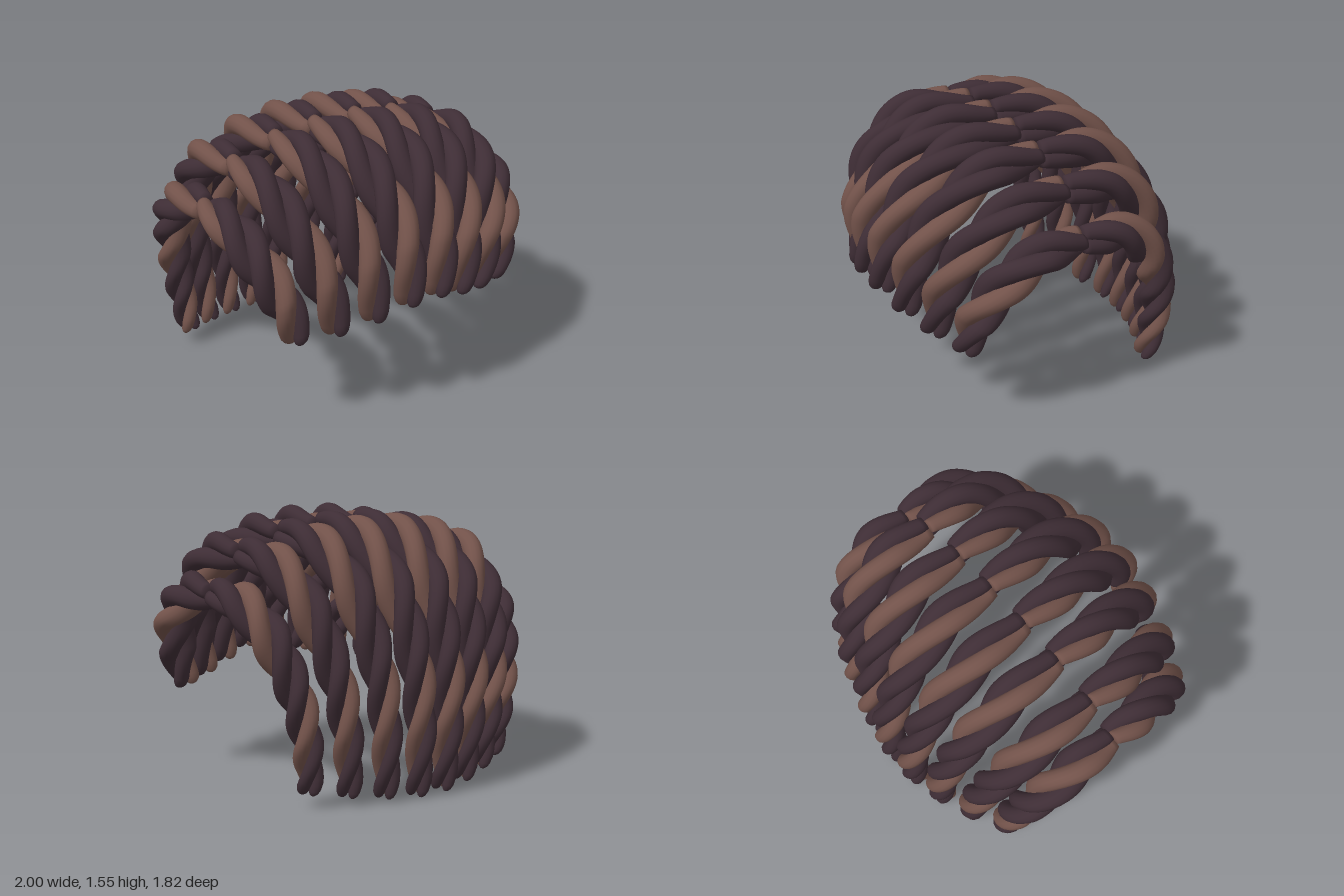
import * as THREE from 'three';

const dark = new THREE.MeshStandardMaterial({ color: 0x3e2d35 });
dark.name = 'dark brown hair';
const light = new THREE.MeshStandardMaterial({ color: 0x72524a });
light.name = 'light brown hair';

const SIDES = 14, RINGS = 52;

// root (x, y) at the parting, then the tip of the front and of the back lock; centre row first
const rows = [
  { root: [0.14, 1.45], front: [0.1, 0.635, 0.825], back: [0.095, 0.01, -0.79] },
  { root: [0.41, 1.42], front: [0.295, 0.58, 0.775], back: [0.295, 0.025, -0.75] },
  { root: [0.685, 1.33], front: [0.49, 0.53, 0.695], back: [0.495, 0.05, -0.68] },
  { root: [0.88, 1.12], front: [0.69, 0.5, 0.6], back: [0.69, 0.08, -0.585] },
];

// path shape as fractions from root to tip, thickness along the lock, twist in degrees
const styles = {
  front: {
    x: [0, -0.03, 0.18, 0.6, 1], y: [0, 0.035, 0.29, 0.65, 1], z: [0, 0.4, 0.76, 0.96, 1],
    radius: [0.08, 0.118, 0.124, 0.118, 0.086], start: -40, turn: -460, power: 1.1,
  },
  back: {
    x: [0, -0.03, 0.15, 0.55, 0.85, 1], y: [0, 0.018, 0.175, 0.475, 0.78, 1], z: [0, 0.39, 0.755, 0.995, 1.04, 1],
    radius: [0.08, 0.119, 0.116, 0.103, 0.09, 0.073], start: -115, turn: 720, power: 1.28,
  },
};

const mix = (a, b, t) => a + (b - a) * t;

function sample(list, u) {
  const p = u * (list.length - 1), i = Math.min(Math.floor(p), list.length - 2);
  return mix(list[i], list[i + 1], Math.sin((p - i) * Math.PI / 2));
}

// one strand: rings that wind round the lock's path, closed at the root and rounded at the tip
function strandGeometry(path, style, phase, outwardSign) {
  const stops = [[0, 0], [0, 0.95]];
  for (let i = 1; i < RINGS; i++) stops.push([0.955 * i / RINGS, 1]);
  stops.push([0.955, 1], [0.98, 0.86], [0.994, 0.6], [1, 0.3], [1, 0]);

  const positions = [], indices = [];
  for (const [u, scale] of stops) {
    const c = path.getPointAt(u), T = path.getTangentAt(u);
    const S = new THREE.Vector3(1, 0, 0).addScaledVector(T, -T.x).normalize();
    const N = new THREE.Vector3().crossVectors(T, S).multiplyScalar(outwardSign);
    const V = new THREE.Vector3().crossVectors(T, N);
    const R = sample(style.radius, u);
    const a = THREE.MathUtils.degToRad(style.start + phase + style.turn * u ** style.power);
    c.addScaledVector(N, Math.cos(a) * R * 0.5).addScaledVector(S, Math.sin(a) * R * 0.5);
    for (let j = 0; j < SIDES; j++) {
      const b = (j / SIDES) * Math.PI * 2, r = R * 0.53 * scale;
      const p = c.clone().addScaledVector(N, Math.cos(b) * r).addScaledVector(V, Math.sin(b) * r);
      positions.push(p.x, p.y, p.z);
    }
  }
  for (let i = 0; i < stops.length - 1; i++) {
    for (let j = 0; j < SIDES; j++) {
      const k = (j + 1) % SIDES;
      const a = i * SIDES + j, b = i * SIDES + k, c = a + SIDES, d = b + SIDES;
      indices.push(a, b, c, b, d, c);
    }
  }
  const geometry = new THREE.BufferGeometry();
  geometry.setAttribute('position', new THREE.Float32BufferAttribute(positions, 3));
  geometry.setIndex(indices);
  geometry.computeVertexNormals();
  return geometry;
}

// a twisted lock of one light and two dark strands
function twistedLock(row, side, kind) {
  const style = styles[kind], tip = row[kind];
  const points = style.x.map((fx, i) => new THREE.Vector3(
    side * mix(row.root[0], tip[0], fx),
    mix(row.root[1], tip[1], style.y[i]),
    tip[2] * style.z[i],
  ));
  const path = new THREE.CatmullRomCurve3(points);
  const lock = new THREE.Group();
  lock.name = kind + 'Lock';
  [0, 120, 240].forEach((phase) => {
    const geometry = strandGeometry(path, style, phase, kind === 'front' ? 1 : -1);
    const strand = new THREE.Mesh(geometry, phase === 0 ? light : dark);
    strand.name = phase === 0 ? 'lightStrand' : 'darkStrand';
    lock.add(strand);
  });
  return lock;
}

export function createModel() {
  const model = new THREE.Group();
  model.name = 'twistedHair';
  for (const row of rows) {
    for (const side of [-1, 1]) {
      for (const kind of ['front', 'back']) model.add(twistedLock(row, side, kind));
    }
  }
  return model;
}
